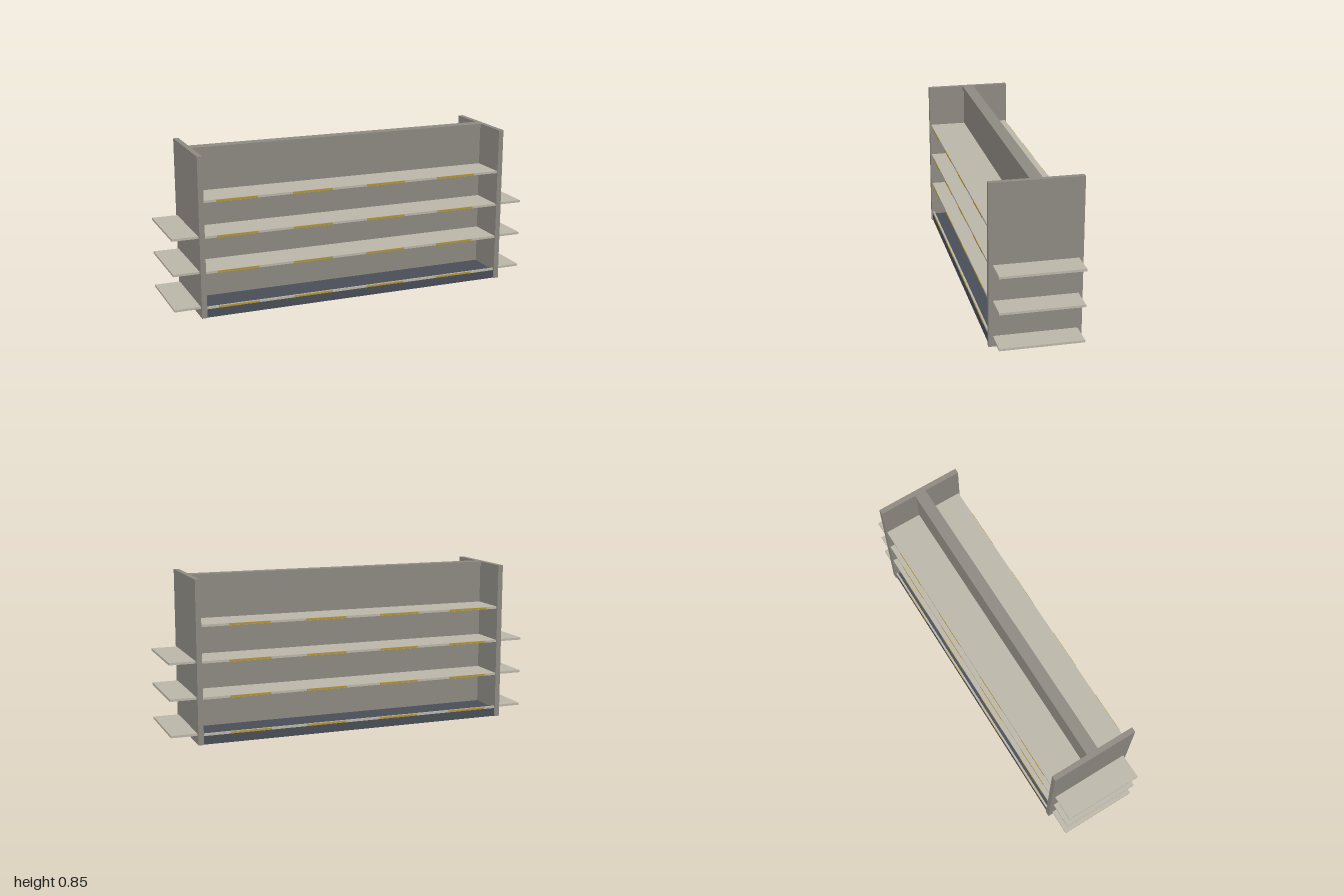
import * as THREE from 'three';

const mat = (name, color) => {
  const m = new THREE.MeshStandardMaterial({ color });
  m.name = name;
  return m;
};

export function createModel() {
  const panel = mat('panel grey', 0x8f8b83);
  const shelf = mat('shelf beige', 0xbdb8ab);
  const base = mat('base slate', 0x4a4e57);
  const label = mat('label yellow', 0xb8962e);

  const model = new THREE.Group();
  model.name = 'doubleSidedShelf';

  // box given by its lower and upper corners
  const box = (name, material, [x0, y0, z0], [x1, y1, z1]) => {
    const mesh = new THREE.Mesh(new THREE.BoxGeometry(x1 - x0, y1 - y0, z1 - z0), material);
    mesh.position.set((x0 + x1) / 2, (y0 + y1) / 2, (z0 + z1) / 2);
    mesh.name = name;
    model.add(mesh);
  };
  // same box on the front and, mirrored, on the back
  const bothFaces = (name, material, [x0, y0, z0], [x1, y1, z1]) => {
    box(name, material, [x0, y0, z0], [x1, y1, z1]);
    box(name, material, [x0, y0, -z1], [x1, y1, -z0]);
  };

  const inner = 0.835, outer = 0.863, depth = 0.235, height = 0.85;
  const front = 0.228, thick = 0.012;

  // central divider and its slightly wider cap
  box('divider', panel, [-inner, 0.045, -0.025], [inner, 0.825, 0.025]);
  box('dividerCap', panel, [-inner, 0.825, -0.032], [inner, height, 0.032]);

  // end panels with their outward shelves
  for (const s of [-1, 1]) {
    const span = (a, b) => (s > 0 ? [a, b] : [-b, -a]);
    const [p0, p1] = span(inner, outer);
    box('endPanel', panel, [p0, 0, -depth], [p1, height, depth]);
    const [e0, e1] = span(outer, 1);
    for (const y of [0.046, 0.235, 0.422])
      box('endShelf', shelf, [e0, y, -0.213], [e1, y + thick, 0.213]);
  }

  // hollow base: deck and skirts, open underneath
  box('baseDeck', base, [-inner, 0.033, -0.215], [inner, 0.045, 0.215]);
  bothFaces('baseSkirt', base, [-inner, 0, 0.213], [inner, 0.045, front]);
  bothFaces('baseLip', shelf, [-inner, 0.045, 0.218], [inner, 0.057, front]);

  // long shelves
  for (const y of [0.235, 0.422, 0.609])
    bothFaces('longShelf', shelf, [-inner, y, 0.025], [inner, y + thick, front]);

  // price labels along every long edge
  for (const y of [0.045, 0.235, 0.422, 0.609])
    for (const x of [-0.66, -0.25, 0.165, 0.58])
      bothFaces('priceLabel', label, [x - 0.11, y + 0.001, front], [x + 0.11, y + 0.011, front + 0.002]);

  return model;
}
